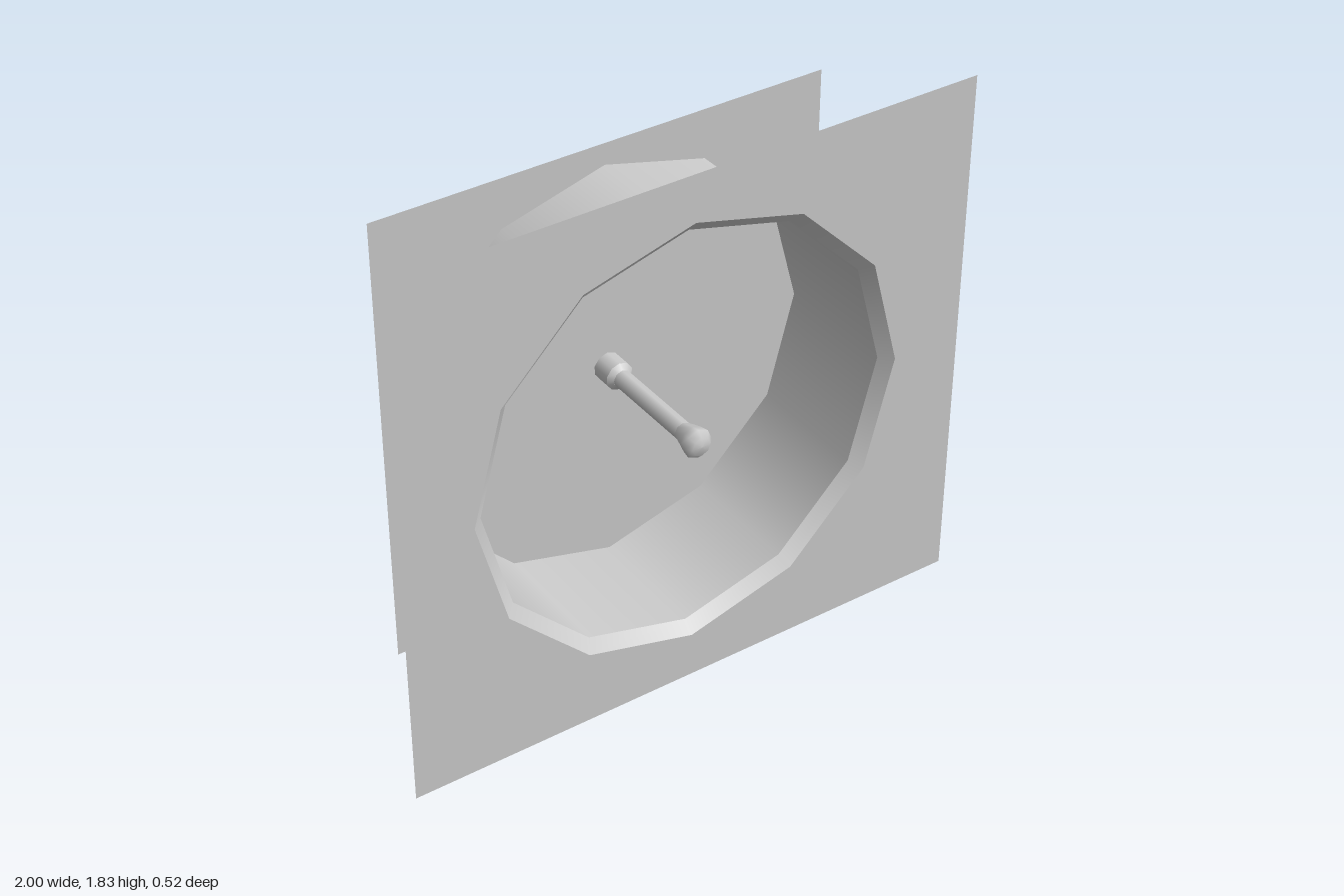
import * as THREE from 'three';

const CENTRE_Y = 0.914;
const SIDES = 12;

const material = new THREE.MeshStandardMaterial({ color: 0xcccccc, side: THREE.DoubleSide });

function addMesh(group, name, geometry) {
  const mesh = new THREE.Mesh(geometry, material);
  mesh.name = name;
  group.add(mesh);
  return mesh;
}

// Surface of revolution about the z axis; profile is a list of [radius, z]
function turned(profile, sides) {
  const points = profile.map(([r, z]) => new THREE.Vector2(r, z));
  return new THREE.LatheGeometry(points, sides).rotateX(Math.PI / 2);
}

// Flat rectangle in the xy plane, optionally with a twelve-sided opening
function panel(width, height, z, holeRadius = 0) {
  const w = width / 2, h = height / 2;
  const shape = new THREE.Shape([
    new THREE.Vector2(-w, -h), new THREE.Vector2(w, -h),
    new THREE.Vector2(w, h), new THREE.Vector2(-w, h),
  ]);
  if (holeRadius > 0) {
    const rim = [];
    for (let i = 0; i < SIDES; i++) {
      const a = -i / SIDES * Math.PI * 2;
      rim.push(new THREE.Vector2(Math.cos(a) * holeRadius, Math.sin(a) * holeRadius));
    }
    shape.holes.push(new THREE.Path(rim));
  }
  return new THREE.ShapeGeometry(shape).translate(0, 0, z);
}

export function createModel() {
  const model = new THREE.Group();
  model.name = 'recessedPort';

  const body = new THREE.Group();
  body.name = 'body';
  body.position.y = CENTRE_Y;
  model.add(body);

  // Front wall with the opening, and the smaller closed wall behind it
  addMesh(body, 'frontPanel', panel(2, 1.828, 0.217, 0.755));
  addMesh(body, 'backPanel', panel(1.574, 1.574, -0.249));

  // Twelve-sided tunnel between the walls and its bevelled front lip
  addMesh(body, 'tunnelWall', turned([[0.714, -0.253], [0.714, 0.181]], SIDES));
  addMesh(body, 'bevelledLip', turned([[0.714, 0.181], [0.755, 0.217]], SIDES));

  // Central spindle: rear collar, rod and flared knob
  const spindle = new THREE.Group();
  spindle.name = 'spindle';
  body.add(spindle);
  addMesh(spindle, 'collarSide', turned([[0.048, -0.257], [0.048, -0.18]], 10));
  addMesh(spindle, 'collarShoulder', turned([[0.048, -0.18], [0.03, -0.165]], 10));
  addMesh(spindle, 'collarRearRim', turned([[0.037, -0.249], [0.037, -0.257], [0.048, -0.257]], 10));
  addMesh(spindle, 'rod', turned([[0.03, -0.17], [0.03, 0.16]], 8));
  addMesh(spindle, 'knob', turned(
    [[0.03, 0.16], [0.045, 0.21], [0.05, 0.238], [0.032, 0.257], [0, 0.26]], 8));

  return model;
}
